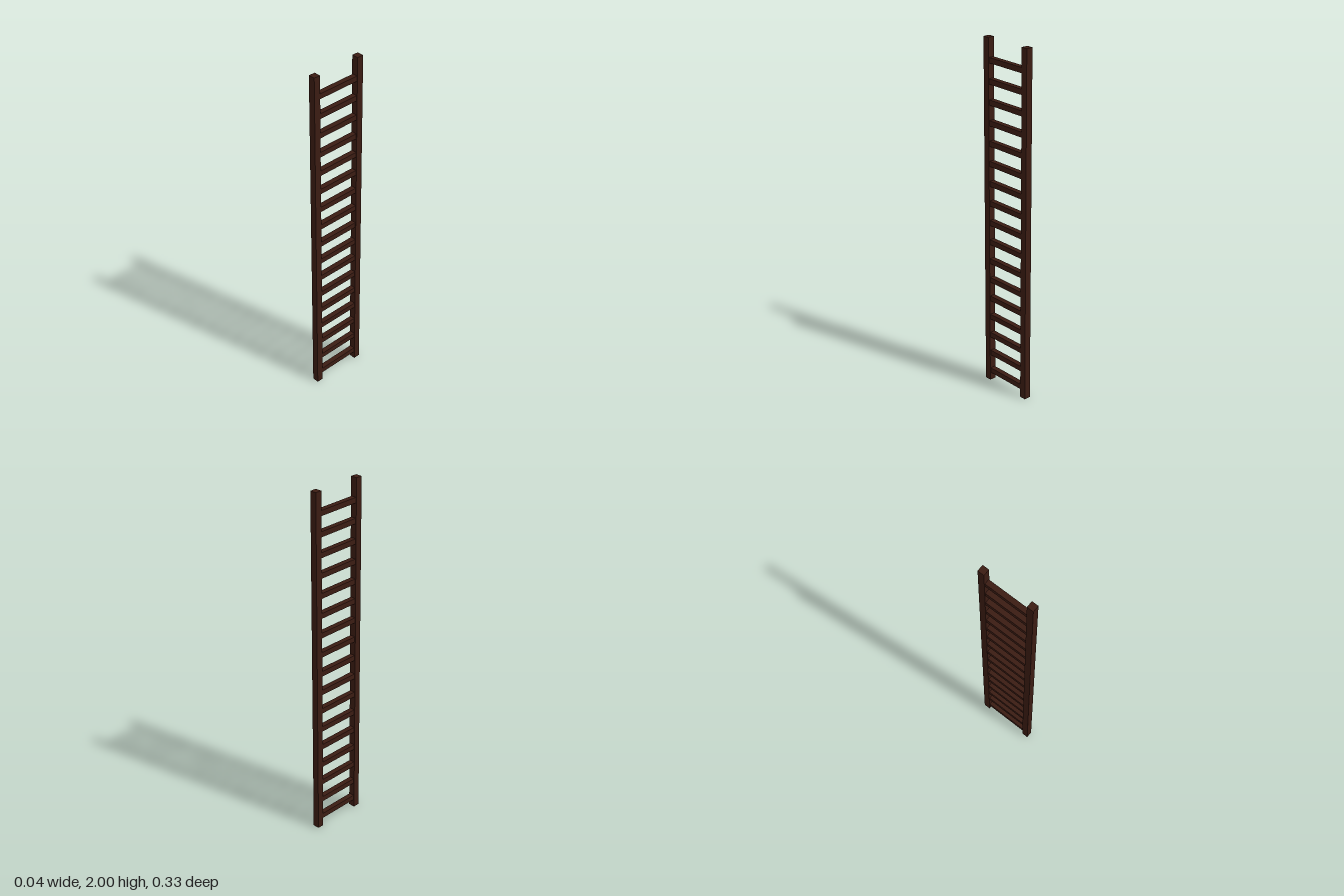
import * as THREE from 'three';

export function createModel() {
  const ladder = new THREE.Group();
  ladder.name = 'ladder';
  const wood = new THREE.MeshStandardMaterial({ color: 0x3b1c13 });

  const addBox = (name, size, y, z) => {
    const mesh = new THREE.Mesh(new THREE.BoxGeometry(...size), wood);
    mesh.name = name;
    mesh.position.set(0, y, z);
    ladder.add(mesh);
  };

  // Two square side rails
  const railWidth = 0.038, railZ = 0.146;
  addBox('frontRail', [railWidth, 2, railWidth], 1, railZ);
  addBox('backRail', [railWidth, 2, railWidth], 1, -railZ);

  // Evenly spaced rungs, ending inside the rails
  const rungCount = 17, firstY = 0.061, lastY = 1.879;
  for (let i = 0; i < rungCount; i++) {
    const y = THREE.MathUtils.lerp(firstY, lastY, i / (rungCount - 1));
    addBox(`rung${i + 1}`, [0.03, 0.03, railZ * 2], y, 0);
  }
  return ladder;
}
